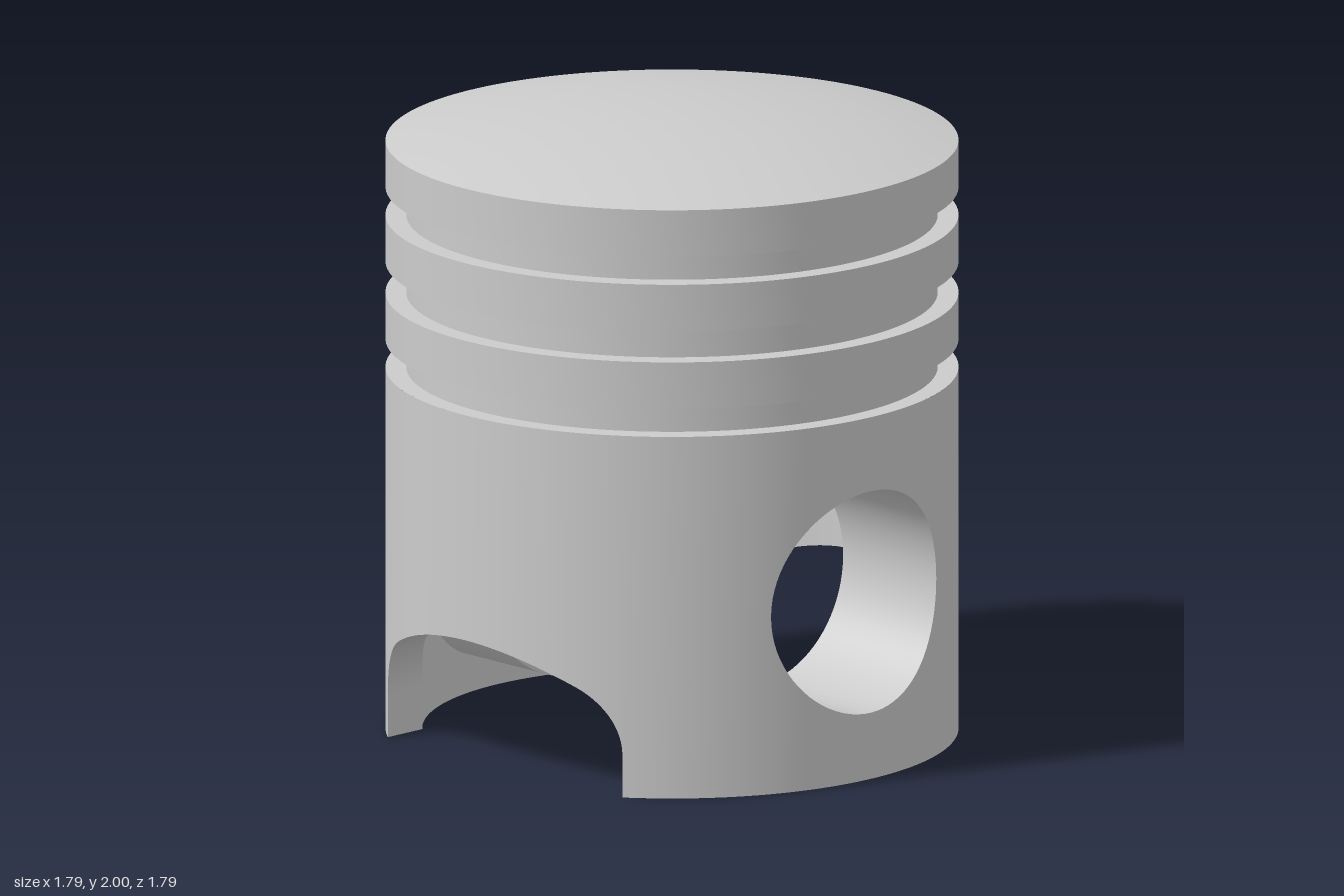
import * as THREE from 'three';
import { toCreasedNormals } from 'three/addons/utils/BufferGeometryUtils.js';

const R = 0.895, INNER = 0.78, GROOVE_R = 0.83;          // outer wall, cavity, ring grooves
const SKIRT_TOP = 1.165, CEILING = 1.72;
const PIN_Y = 0.57, BORE = 0.357, BOSS_R = 0.47, BOSS_X = 0.4;
const HOLE_STEPS = 20;

const material = new THREE.MeshStandardMaterial({ color: 0xcccccc, roughness: 0.6 });

function addMesh(group, name, geometry) {
  const mesh = new THREE.Mesh(toCreasedNormals(geometry, 0.5), material);
  mesh.name = name;
  group.add(mesh);
}

// Collects quads and mirrors them across x and z, keeping faces outward
function quadBuilder() {
  const positions = [];
  return {
    add(corners, sx, sz) {
      const [a, b, c, d] = sx * sz > 0 ? corners : [...corners].reverse();
      for (const p of [a, b, c, a, c, d]) positions.push(p[0] * sx, p[1], p[2] * sz);
    },
    build() {
      const g = new THREE.BufferGeometry();
      g.setAttribute('position', new THREE.Float32BufferAttribute(positions, 3));
      return g;
    },
  };
}

// Columns of a quarter skirt, from the front centre round to the pin axis.
// at(r): plan position on radius r; b: lower edge; h: half height of pin hole
function skirtColumns() {
  const columns = [];
  const atX = (x) => (r) => [x, Math.sqrt(r * r - x * x)];
  const atZ = (z) => (r) => [Math.sqrt(r * r - z * z), z];
  const halfWidth = 0.53, fillet = 0.235, arcY = 0.44 - R;
  const fx = halfWidth - fillet;
  const fy = arcY + Math.sqrt((R - fillet) ** 2 - fx * fx);
  const start = Math.atan2(fy - arcY, fx);

  // Shallow arch, then its rounded corner
  const archEnd = R * Math.cos(start);
  for (let i = 0; i < 12; i++) {
    const x = archEnd * i / 12;
    columns.push({ at: atX(x), b: arcY + Math.sqrt(R * R - x * x), h: 0 });
  }
  for (let i = 0; i <= 12; i++) {
    const a = start * (1 - i / 12);
    columns.push({ at: atX(fx + fillet * Math.cos(a)), b: fy + fillet * Math.sin(a), h: 0 });
  }
  // Full-height wall beside the arch
  for (let i = 0; i < 10; i++) {
    columns.push({
      at: (r) => {
        const a = THREE.MathUtils.lerp(Math.asin(halfWidth / r), Math.acos(BORE / r), i / 10);
        return [r * Math.sin(a), r * Math.cos(a)];
      }, b: 0, h: 0,
    });
  }
  // Wall above and below the pin hole
  for (let i = 0; i <= HOLE_STEPS; i++) {
    const t = Math.PI / 2 * i / HOLE_STEPS;
    columns.push({ at: atZ(BORE * Math.cos(t)), b: 0, h: BORE * Math.sin(t) });
  }
  return columns;
}

function skirtGeometry() {
  const quads = quadBuilder();
  const columns = skirtColumns();
  const point = (c, r, y) => { const [x, z] = c.at(r); return [x, y, z]; };
  for (const sx of [1, -1]) for (const sz of [1, -1]) {
    for (let i = 0; i < columns.length - 1; i++) {
      const p = columns[i], q = columns[i + 1];
      const top = [SKIRT_TOP, SKIRT_TOP];
      const bands = q.h > 0
        ? [[[p.b, q.b], [PIN_Y - p.h, PIN_Y - q.h]], [[PIN_Y + p.h, PIN_Y + q.h], top]]
        : [[[p.b, q.b], top]];
      for (const [lo, hi] of bands) {
        const wall = (r) => [point(p, r, lo[0]), point(q, r, lo[1]), point(q, r, hi[1]), point(p, r, hi[0])];
        quads.add(wall(R), sx, sz);
        quads.add(wall(INNER).reverse(), sx, sz);
      }
      // Lower rim, including the arch soffit
      quads.add([point(p, R, p.b), point(p, INNER, p.b), point(q, INNER, q.b), point(q, R, q.b)], sx, sz);
    }
  }
  return quads.build();
}

// Pin boss tube: its ends follow the curved wall on the outside
function bossGeometry(side) {
  const quads = quadBuilder();
  const onWall = (r) => (z) => Math.sqrt(r * r - z * z);
  const rings = [
    [BOSS_R, onWall(INNER + 0.02)],
    [BOSS_R, () => BOSS_X],
    [BORE, () => BOSS_X],
    [BORE, onWall(R)],
  ];
  const n = HOLE_STEPS * 4;
  const point = ([r, x], j) => {
    const t = Math.PI * 2 * j / n, z = r * Math.cos(t);
    return [x(z), PIN_Y + r * Math.sin(t), z];
  };
  for (let k = 0; k < 3; k++) for (let j = 0; j < n; j++) {
    quads.add([point(rings[k], j), point(rings[k], j + 1),
      point(rings[k + 1], j + 1), point(rings[k + 1], j)], side, 1);
  }
  return quads.build();
}

// Domed crown with three ring grooves
function crownGeometry() {
  const profile = [];
  for (const [low, high] of [[1.165, 1.255], [1.405, 1.505], [1.655, 1.745]]) {
    profile.push([R, low], [GROOVE_R, low], [GROOVE_R, high], [R, high]);
  }
  const edgeY = 1.895, rise = 2 - edgeY;
  const domeR = (R * R + rise * rise) / (2 * rise);
  for (let i = 0; i <= 12; i++) {
    const x = R * (1 - i / 12);
    profile.push([x, 2 - domeR + Math.sqrt(domeR * domeR - x * x)]);
  }
  return new THREE.LatheGeometry(profile.map(([x, y]) => new THREE.Vector2(x, y)), 128);
}

export function createModel() {
  const piston = new THREE.Group();
  piston.name = 'piston';
  addMesh(piston, 'crown', crownGeometry());
  const cavity = [[0, CEILING], [INNER, CEILING], [INNER, SKIRT_TOP]];
  addMesh(piston, 'crownCavity',
    new THREE.LatheGeometry(cavity.map(([x, y]) => new THREE.Vector2(x, y)), 128));
  addMesh(piston, 'skirt', skirtGeometry());
  addMesh(piston, 'leftPinBoss', bossGeometry(1));
  addMesh(piston, 'rightPinBoss', bossGeometry(-1));
  return piston;
}
